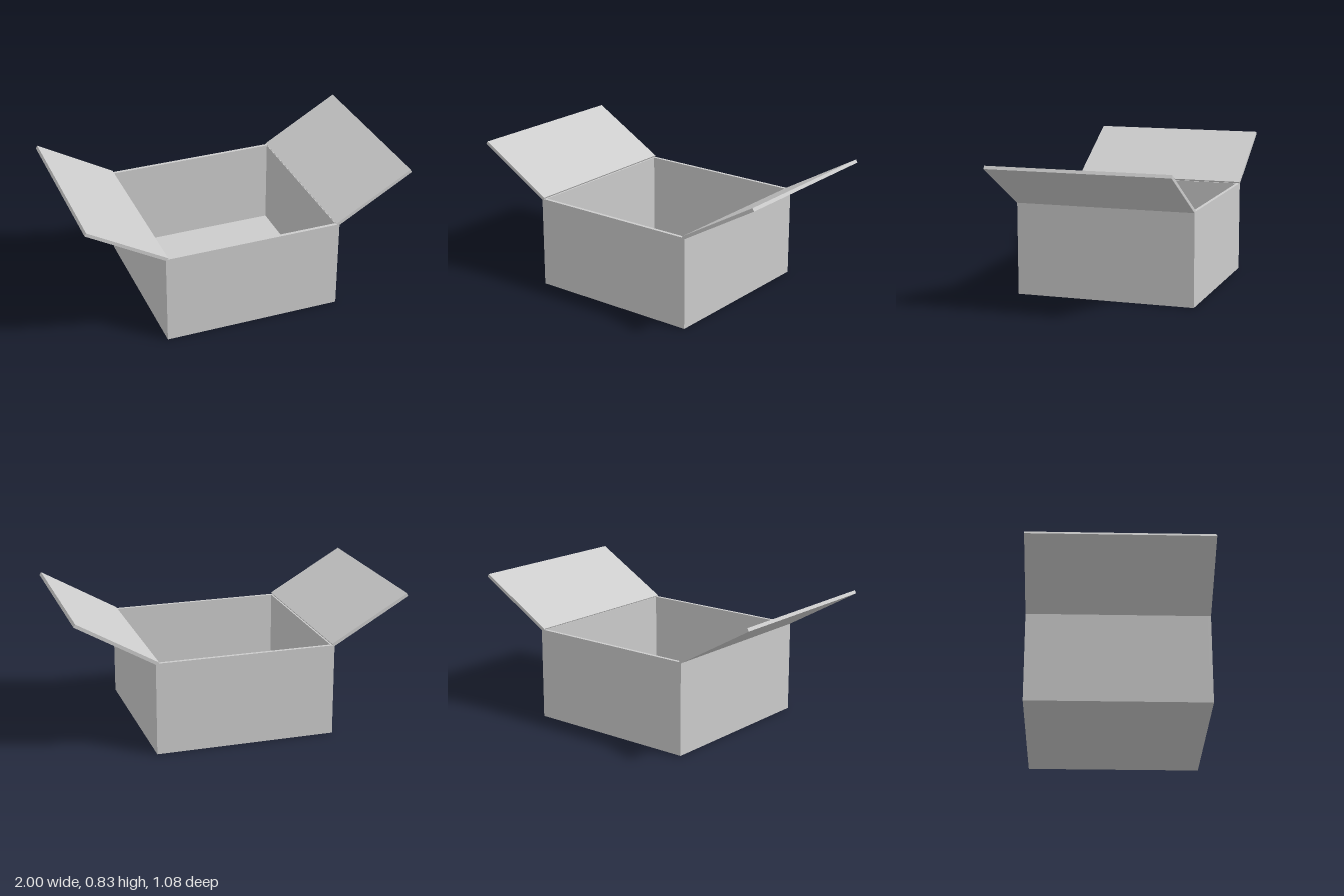
import * as THREE from 'three';

const HALF = 0.54, HEIGHT = 0.555, T = 0.02;

export function createModel() {
  const group = new THREE.Group();
  const material = new THREE.MeshStandardMaterial({ color: 0xcccccc, flatShading: true });

  function panel(name, w, h, d, x, y, z) {
    const mesh = new THREE.Mesh(new THREE.BoxGeometry(w, h, d), material);
    mesh.name = name;
    mesh.position.set(x, y, z);
    group.add(mesh);
    return mesh;
  }

  // Base panel
  panel('floor', 2 * HALF, T, 2 * HALF, 0, T / 2, 0);

  // Four walls standing on the base
  const wallH = HEIGHT - T, wallY = T + wallH / 2, off = HALF - T / 2;
  panel('frontWall', 2 * HALF, wallH, T, 0, wallY, off);
  panel('backWall', 2 * HALF, wallH, T, 0, wallY, -off);
  const inner = 2 * (HALF - T);
  panel('leftWall', T, wallH, inner, off, wallY, 0);
  panel('rightWall', T, wallH, inner, -off, wallY, 0);

  // Open lid flaps, each tilted up 30 degrees from its hinge
  const tilt = Math.PI / 6;
  const flaps = [['leftFlap', 1, 0.525], ['rightFlap', -1, 0.53]];
  for (const [name, side, hingeX] of flaps) {
    const tipX = 0.995, tipY = 0.824;
    const length = (tipX - hingeX) / Math.cos(tilt);
    const flap = panel(name, length, T, 2 * HALF,
      side * (tipX + hingeX) / 2, tipY - (length / 2) * Math.sin(tilt), 0);
    flap.rotation.z = side * tilt;
  }
  return group;
}
